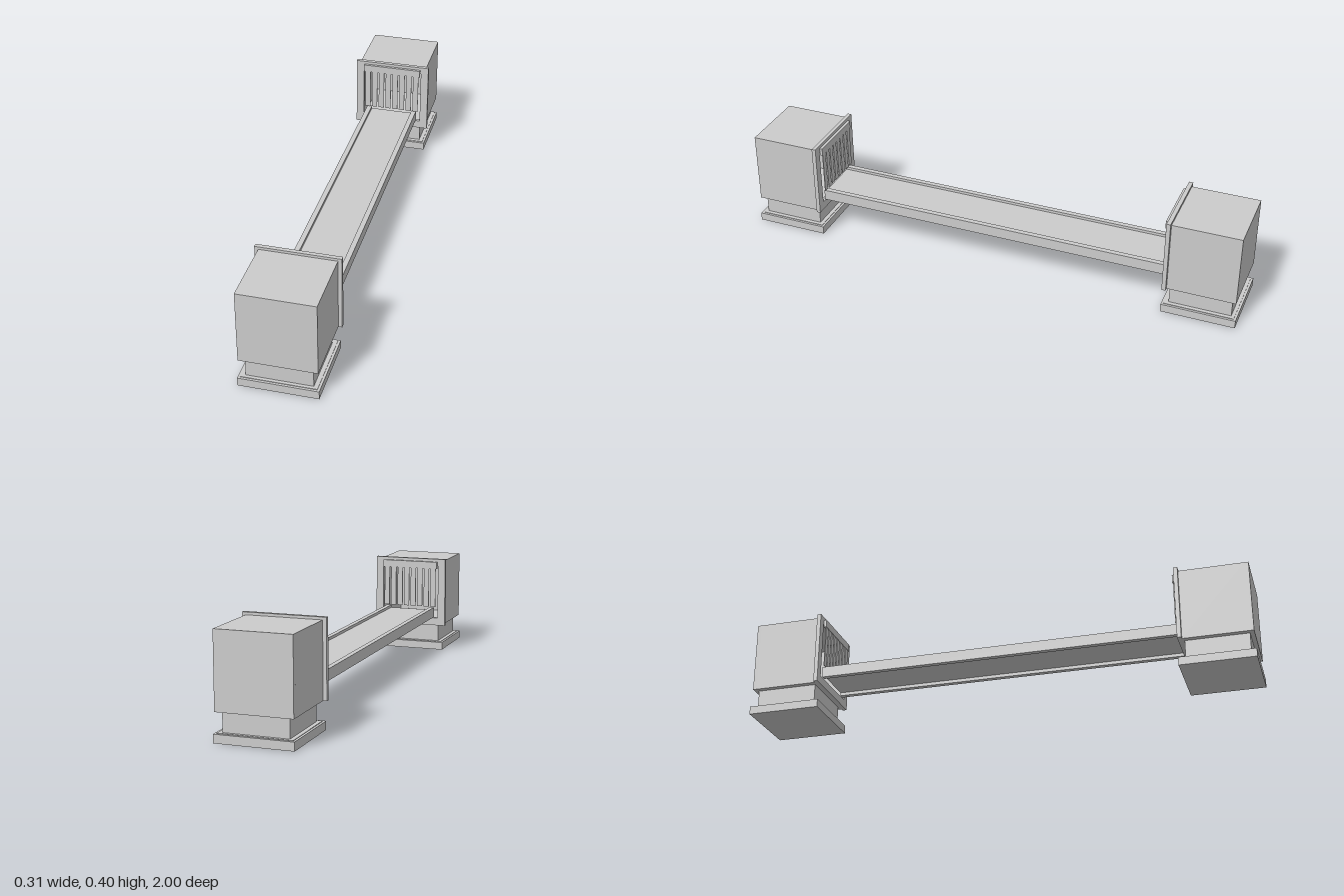
import * as THREE from 'three';

const material = new THREE.MeshStandardMaterial({ color: 0xcccccc, flatShading: true });

// Box given by its limits on each axis
function block(name, [x0, x1], [y0, y1], [z0, z1]) {
  const mesh = new THREE.Mesh(new THREE.BoxGeometry(x1 - x0, y1 - y0, z1 - z0), material);
  mesh.name = name;
  mesh.position.set((x0 + x1) / 2, (y0 + y1) / 2, (z0 + z1) / 2);
  return mesh;
}

// Rectangular ring in the xy plane, extruded along z
function ring(name, outer, inner, [z0, z1]) {
  const corners = ([w, y0, y1]) => [[-w, y0], [w, y0], [w, y1], [-w, y1]].map(([x, y]) => new THREE.Vector2(x, y));
  const shape = new THREE.Shape(corners(outer));
  shape.holes.push(new THREE.Path(corners(inner).reverse()));
  const mesh = new THREE.Mesh(new THREE.ExtrudeGeometry(shape, { depth: z1 - z0, bevelEnabled: false }), material);
  mesh.name = name;
  mesh.position.z = z0;
  return mesh;
}

// End cabinet whose opening faces the middle (-z)
function cabinet(name) {
  const group = new THREE.Group();
  group.name = name;
  group.add(
    block('basePlate', [-0.147, 0.147], [0, 0.032], [0.712, 1]),
    block('baseLip', [-0.138, 0.138], [0.032, 0.034], [0.721, 0.991]),
    block('pedestal', [-0.122, 0.122], [0.034, 0.107], [0.737, 0.978]),
    ring('housing', [0.143, 0.107, 0.39], [0.128, 0.125, 0.372], [0.73, 0.98]),
    block('housingBack', [-0.143, 0.143], [0.107, 0.39], [0.98, 0.995]),
    ring('openingFrame', [0.157, 0.107, 0.4], [0.125, 0.14, 0.37], [0.714, 0.73]),
    block('curtainRail', [-0.122, 0.122], [0.358, 0.388], [0.703, 0.714]),
  );
  // Hanging curtain strips
  const count = 8, pitch = 0.03;
  for (let i = 0; i < count; i++) {
    const x = (i - (count - 1) / 2) * pitch;
    group.add(block('curtainStrip', [x - 0.0115, x + 0.0115], [0.19, 0.358], [0.705, 0.708]));
  }
  return group;
}

export function createModel() {
  const model = new THREE.Group();
  model.name = 'conveyor';

  // Cabinets at both ends
  const back = cabinet('backCabinet');
  back.rotation.y = Math.PI;
  model.add(cabinet('frontCabinet'), back);

  // Belt between two side rails
  model.add(block('belt', [-0.088, 0.088], [0.156, 0.175], [-0.715, 0.715]));
  for (const s of [-1, 1]) {
    const rail = block(s > 0 ? 'leftRail' : 'rightRail', [-0.01, 0.01], [0.143, 0.186], [-0.715, 0.715]);
    rail.position.x = s * 0.098;
    model.add(rail);
  }
  return model;
}
